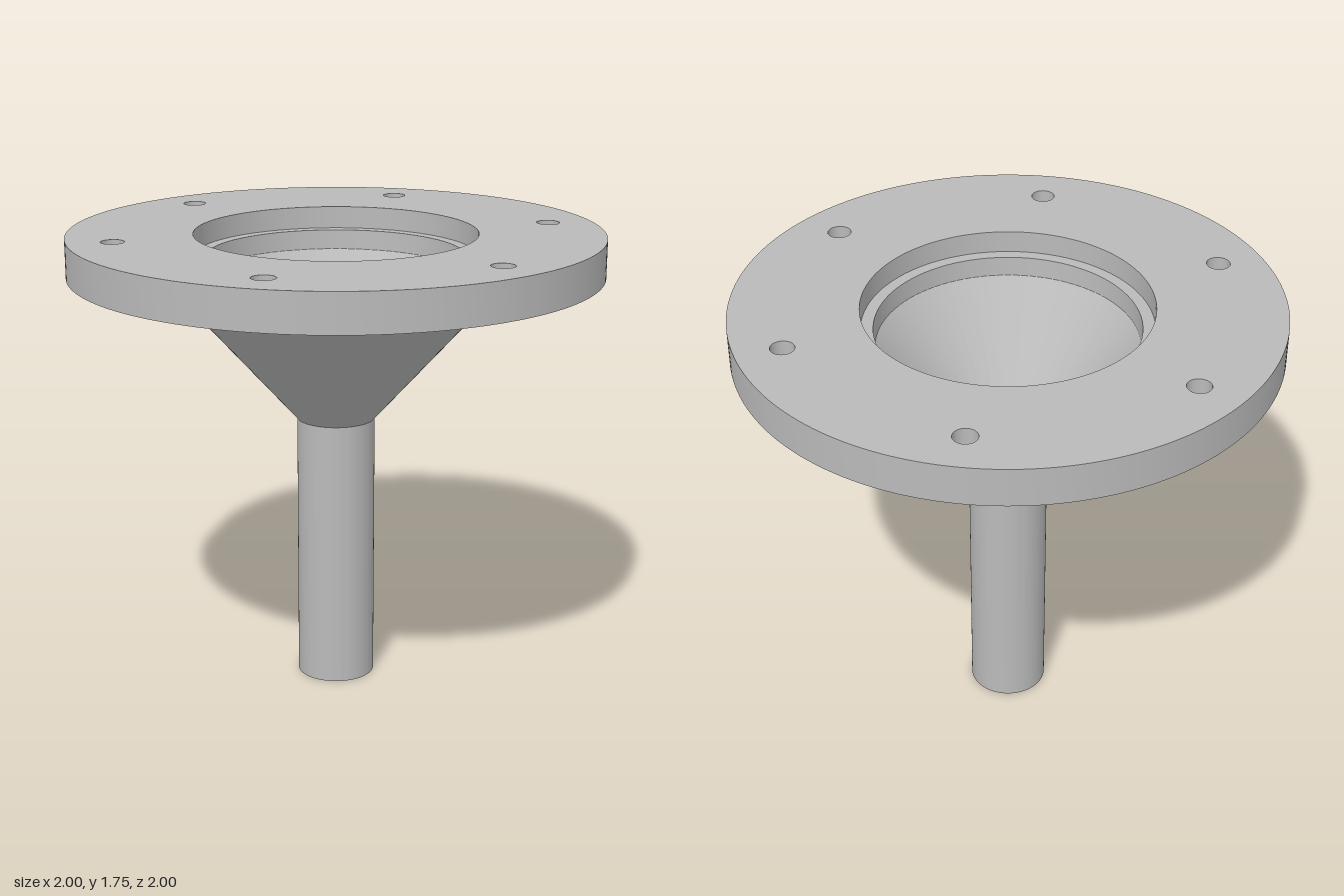
import * as THREE from 'three';
import { toCreasedNormals } from 'three/addons/utils/BufferGeometryUtils.js';

const SEGMENTS = 96;
const CREASE = 0.45;

// Surface of revolution with crisp edges at the profile corners
function revolve(points) {
  const profile = points.map(([r, y]) => new THREE.Vector2(r, y));
  return toCreasedNormals(new THREE.LatheGeometry(profile, SEGMENTS), CREASE);
}

function circle(Type, x, y, r) {
  const path = new Type();
  path.absarc(x, y, r, 0, Math.PI * 2, false);
  return path;
}

export function createModel() {
  const model = new THREE.Group();
  model.name = 'flangedFunnel';

  const grey = new THREE.MeshStandardMaterial({ color: 0xbababa });
  grey.name = 'plain grey';

  const add = (name, geometry) => {
    const mesh = new THREE.Mesh(geometry, grey);
    mesh.name = name;
    model.add(mesh);
  };

  // Flange plate with the wide recess and six bolt holes
  const plate = circle(THREE.Shape, 0, 0, 1);
  plate.holes.push(circle(THREE.Path, 0, 0, 0.53));
  for (let i = 0; i < 6; i++) {
    const a = (i * Math.PI) / 3;
    plate.holes.push(circle(THREE.Path, 0.83 * Math.cos(a), 0.83 * Math.sin(a), 0.044));
  }
  const flange = new THREE.ExtrudeGeometry(plate, {
    depth: 0.145, bevelEnabled: false, curveSegments: SEGMENTS,
  });
  flange.rotateX(-Math.PI / 2).translate(0, 1.61, 0);
  add('flange', toCreasedNormals(flange, CREASE));

  // Spout rim, stem and outer cone
  add('stemAndCone', revolve([[0.095, 0], [0.148, 0], [0.148, 1.04], [0.657, 1.61]]));

  // Seat ledge, short throat, inner cone and bore
  add('innerPassage', revolve([
    [0.53, 1.67], [0.485, 1.67], [0.481, 1.595], [0.095, 1.1], [0.095, 0],
  ]));

  return model;
}
